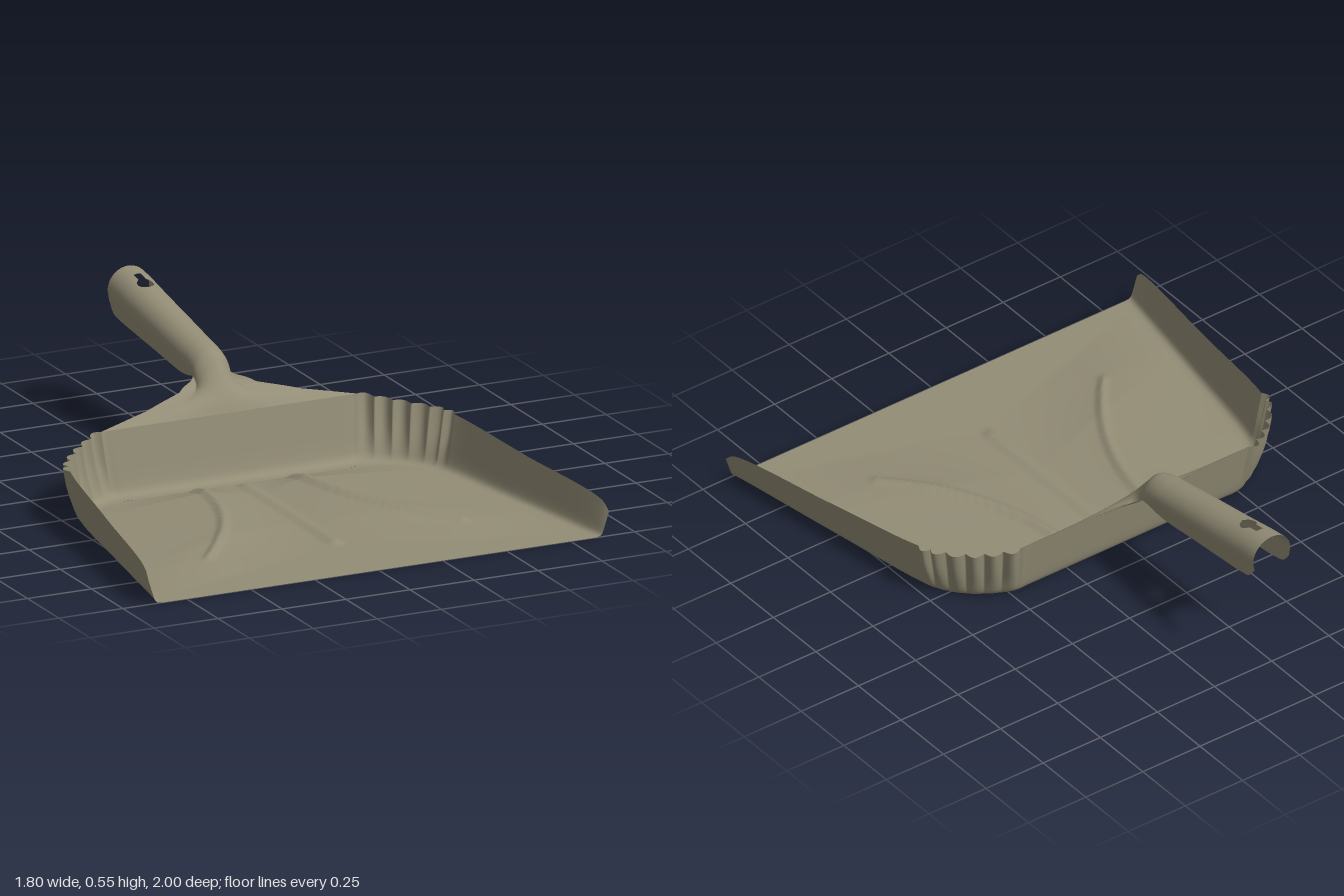
import * as THREE from 'three';

const clamp = THREE.MathUtils.clamp, lerp = THREE.MathUtils.lerp;

// Smooth sheet from a rule giving the point at row i, column j
function sheet(rows, cols, rule) {
  const pos = [], index = [];
  for (let i = 0; i <= rows; i++)
    for (let j = 0; j <= cols; j++) {
      pos.push(...rule(i, j));
      if (i < rows && j < cols) {
        const a = i * (cols + 1) + j, b = a + cols + 1;
        index.push(a, b, a + 1, b, b + 1, a + 1);
      }
    }
  const g = new THREE.BufferGeometry();
  g.setAttribute('position', new THREE.Float32BufferAttribute(pos, 3));
  g.setIndex(index);
  g.computeVertexNormals();
  return g;
}
const curve = pts => new THREE.CatmullRomCurve3(pts.map(p => new THREE.Vector3(...p)));

// Half outlines of the pan, from the front corner round to the middle of the back
const rim = curve([[0.9, 0.09, 1], [0.893, 0.12, 0.96], [0.82, 0.162, 0.5], [0.75, 0.2, 0.07], [0.72, 0.205, 0],
  [0.655, 0.21, -0.08], [0.58, 0.22, -0.145], [0.5, 0.235, -0.195], [0.45, 0.235, -0.195], [0, 0.235, -0.195]]);
const base = curve([[0.84, 0, 1], [0.833, 0, 0.96], [0.757, 0, 0.5], [0.68, 0, 0.09], [0.655, 0, 0.03],
  [0.61, 0, -0.03], [0.54, 0, -0.075], [0.46, 0, -0.1], [0.41, 0, -0.1], [0, 0, -0.1]]);
const SEGS = 9, PER = 30, N = SEGS * PER;

// Wall section: share of the way out and up from base to rim
const section = new THREE.SplineCurve([[0, 0], [0.3, 0.015], [0.5, 0.08], [0.62, 0.22], [0.76, 0.5], [1, 1]]
  .map(p => new THREE.Vector2(...p)));

function wallGeometry() {
  const cols = 16;
  return sheet(2 * N, cols, (i, j) => {
    const side = i <= N ? 1 : -1, t = (i <= N ? i : 2 * N - i) / N;
    const b = base.getPoint(t), r = rim.getPoint(t), s = section.getPoint(j / cols);
    // grip flutes round the rear corners
    const c = (t * SEGS - 3) / 4;
    const flute = c > 0 && c < 1 ? 0.022 * Math.abs(Math.sin(c * Math.PI * 6)) * Math.min(1, s.y * 1.6) : 0;
    const out = new THREE.Vector2(r.x - b.x, r.z - b.z).normalize();
    return [side * (lerp(b.x, r.x, s.x) + out.x * flute), lerp(0, r.y, s.y),
      lerp(b.z, r.z, s.x) + out.y * flute];
  });
}

// Pressed relief of the floor: two swept ridges and a straight middle rib
function floorHeight(x, z, half) {
  const a = Math.abs(x);
  const ridge = 0.19 + 0.31 * Math.pow(clamp((z + 0.1) / 0.76, 0, 1), 2.2);
  const tent = a < ridge ? a / ridge : clamp((half - a) / (half - ridge), 0, 1);
  const fade = clamp((0.68 + 0.32 * a - z) / 0.3, 0, 1) * clamp((z + 0.1) / 0.12, 0, 1);
  const bump = (d, w) => Math.exp(-Math.pow(d / w, 4));
  const ends = clamp((0.68 - z) / 0.02, 0, 1) * clamp((z + 0.1) / 0.04, 0, 1);
  return 0.032 * tent * fade + 0.012 * ends * Math.max(bump(a - ridge, 0.018), bump(a, 0.022));
}

function floorGeometry() {
  const rows = 7 * PER, cols = 100;
  return sheet(rows, cols, (i, j) => {
    const b = base.getPoint(i / N), x = b.x * (1 - 2 * j / cols);
    return [x, floorHeight(x, b.z, b.x), b.z];
  });
}

// Neck and handle sections: half width, crest y, crest z / edge y, edge z, flat (0) to channel (1)
const stations = [
  [0.5, 0.235, -0.195, 0.235, -0.195, 0], [0.3, 0.275, -0.215, 0.27, -0.24, 0],
  [0.15, 0.325, -0.25, 0.305, -0.285, 0.1], [0.09, 0.375, -0.29, 0.33, -0.32, 0.5],
  [0.073, 0.42, -0.33, 0.335, -0.355, 0.9], [0.07, 0.436, -0.38, 0.325, -0.4, 1],
  [0.071, 0.446, -0.44, 0.323, -0.45, 1], [0.075, 0.482, -0.64, 0.345, -0.64, 1],
  [0.078, 0.51, -0.8, 0.363, -0.8, 1], [0.08, 0.533, -0.92, 0.378, -0.92, 1],
  [0.081, 0.54, -0.965, 0.39, -0.965, 1], [0.081, 0.545, -1, 0.43, -1, 1]];
const crest = curve(stations.map(s => s.slice(0, 3)));
const edge = curve(stations.map(s => s.slice(3)));

// Half width of the keyhole at z
function holeWidth(z) {
  const d = z + 0.862;
  const round = Math.sqrt(Math.max(0, 0.03 ** 2 - d * d));
  return z > -0.93 && z < -0.86 ? Math.max(round, 0.014) : round;
}

function handleGeometry(side) {
  const rows = 264, cols = 20;
  return sheet(rows, cols, (i, j) => {
    const c = crest.getPoint(i / rows), e = edge.getPoint(i / rows), w = c.x, k = e.z;
    const gap = 0.6 * Math.asin(holeWidth(c.z) / w) / (Math.PI / 2);
    const u = side > 0 ? 1 - j / cols : j / cols; // keeps both halves wound alike
    const a = lerp(gap, 1, u);
    const bell = (1 + Math.cos(a * Math.PI)) / 2;
    // channel: half round top, then nearly upright sides
    const turn = Math.min(a / 0.6, 1) * Math.PI / 2, drop = Math.max(0, (a - 0.6) / 0.4);
    const ux = w * Math.sin(turn) * (1 - 0.07 * drop);
    const uy = lerp(c.y - w * (1 - Math.cos(turn)), e.x, drop);
    return [side * lerp(w * a, ux, k), lerp(lerp(e.x, c.y, bell), uy, k),
      lerp(lerp(e.y, c.z, bell), lerp(c.z, e.y, a), k)];
  });
}

export function createModel() {
  const model = new THREE.Group();
  model.name = 'dustpan';
  const material = new THREE.MeshStandardMaterial({ color: 0x938d76, side: THREE.DoubleSide });
  material.name = 'olive grey plastic';
  const add = (name, geometry) => {
    const mesh = new THREE.Mesh(geometry, material);
    mesh.name = name;
    model.add(mesh);
  };
  add('floor', floorGeometry());
  add('wall', wallGeometry());
  add('handleLeft', handleGeometry(1));
  add('handleRight', handleGeometry(-1));
  return model;
}
